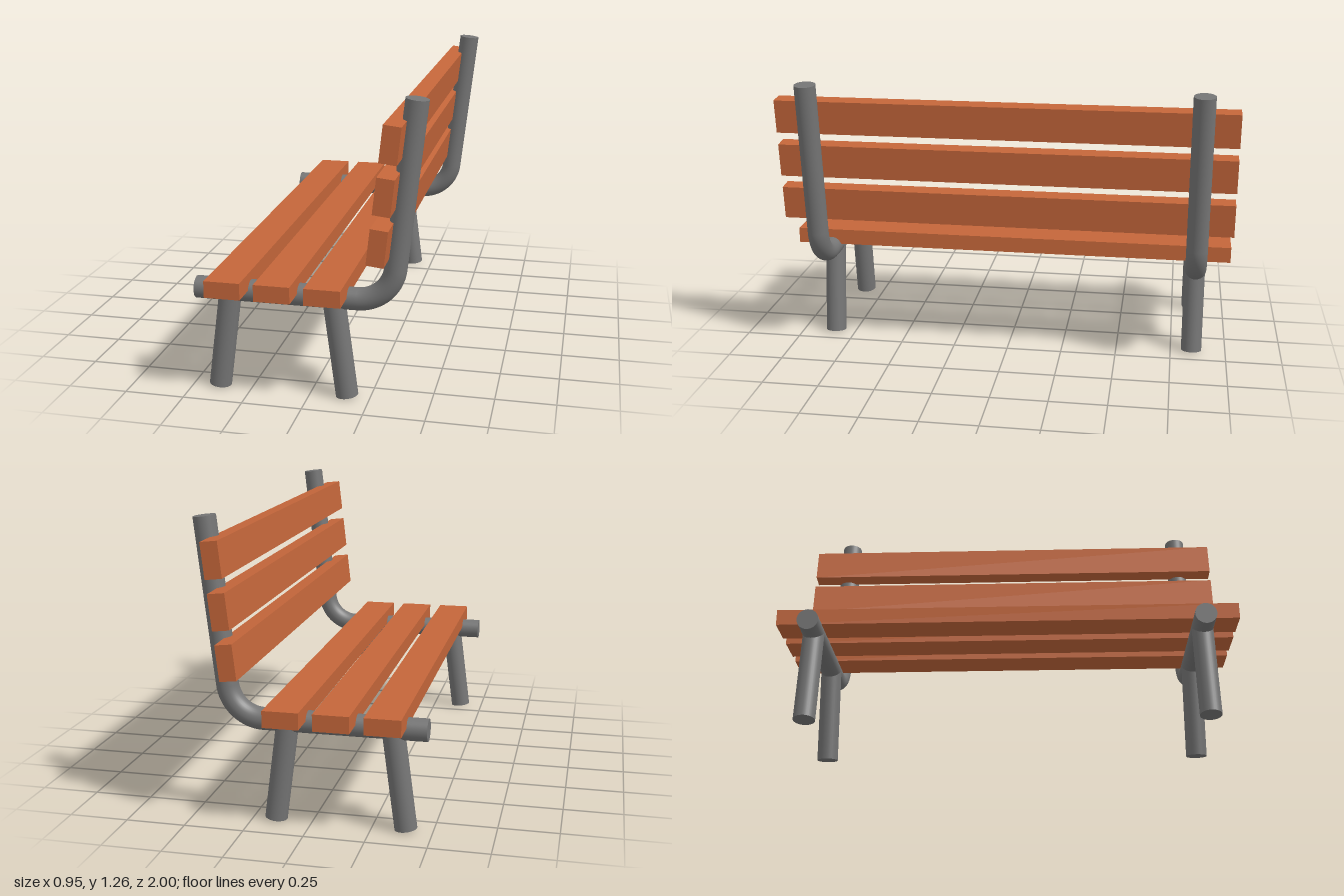
import * as THREE from 'three';

export function createModel() {
  const bench = new THREE.Group();
  bench.name = 'bench';

  const wood = new THREE.MeshStandardMaterial({ color: 0xc4663a });
  wood.name = 'orange wood';
  const steel = new THREE.MeshStandardMaterial({ color: 0x757575 });
  steel.name = 'grey steel';

  const R = 0.0465; // pipe radius
  const LEAN = THREE.MathUtils.degToRad(6.4); // backrest lean
  const RAIL_Y = 0.429;

  function add(parent, name, geometry, material) {
    const mesh = new THREE.Mesh(geometry, material);
    mesh.name = name;
    parent.add(mesh);
    return mesh;
  }

  // Straight pipe between two points in the side plane
  function pipe(parent, name, x1, y1, x2, y2) {
    const dir = new THREE.Vector3(x2 - x1, y2 - y1, 0);
    const mesh = add(parent, name, new THREE.CylinderGeometry(R, R, dir.length(), 32), steel);
    mesh.position.set((x1 + x2) / 2, (y1 + y2) / 2, 0);
    mesh.quaternion.setFromUnitVectors(new THREE.Vector3(0, 1, 0), dir.normalize());
  }

  // Bent pipe frame with two splayed legs at each end
  const topX = 0.428, topY = 1.252;
  const cornerX = topX - (topY - RAIL_Y) * Math.tan(LEAN);
  const tangent = 0.138;
  const turn = Math.PI / 2 - LEAN;
  const bendR = tangent / Math.tan(turn / 2);
  const startX = cornerX - tangent;
  for (const side of [1, -1]) {
    const frame = new THREE.Group();
    frame.name = side > 0 ? 'frameNear' : 'frameFar';
    frame.position.z = side * 0.845;
    bench.add(frame);

    pipe(frame, 'seatRail', -0.477, RAIL_Y, startX, RAIL_Y);
    const bend = add(frame, 'bend', new THREE.TorusGeometry(bendR, R, 32, 24, turn), steel);
    bend.position.set(startX, RAIL_Y + bendR, 0);
    bend.rotation.z = -Math.PI / 2;
    pipe(frame, 'backPost',
      cornerX + tangent * Math.sin(LEAN), RAIL_Y + tangent * Math.cos(LEAN), topX, topY);
    pipe(frame, 'frontLeg', -0.389, 0.006, -0.333, RAIL_Y);
    pipe(frame, 'backLeg', 0.154, 0.006, 0.099, RAIL_Y);
  }

  // Seat and backrest slats
  for (let i = 0; i < 3; i++) {
    const seat = add(bench, 'seatSlat' + (i + 1), new THREE.BoxGeometry(0.148, 0.07, 2), wood);
    seat.position.set(-0.32 + i * 0.204, 0.478, 0);

    const back = add(bench, 'backSlat' + (i + 1), new THREE.BoxGeometry(0.071, 0.148, 2), wood);
    back.position.set(0.304 + i * 0.0235, 0.697 + i * 0.2025, 0);
    back.rotation.z = -LEAN;
  }

  return bench;
}
